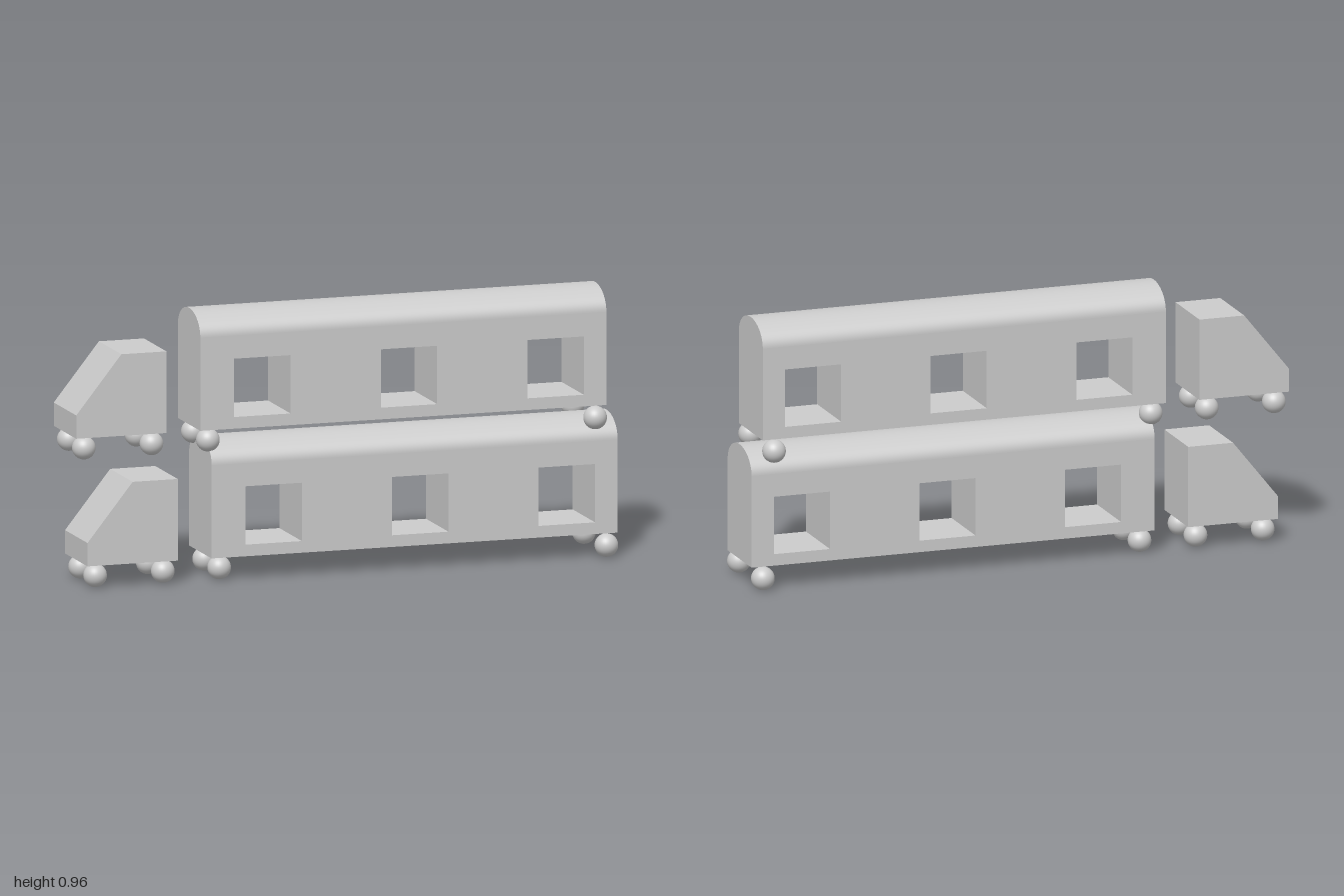
import * as THREE from 'three';
import { toCreasedNormals } from 'three/addons/utils/BufferGeometryUtils.js';

const UNIT = 1 / 24; // the trucks are laid out on a grid of this size
const WIDTH = 6;

const material = new THREE.MeshStandardMaterial({ color: 0xcccccc });

function mesh(name, geometry) {
  const m = new THREE.Mesh(geometry, material);
  m.name = name;
  return m;
}

function polygon(points) {
  return new THREE.Shape(points.map(([x, y]) => new THREE.Vector2(x, y)));
}

// Extrudes a side profile across the width, centred on z = 0
function acrossWidth(shape) {
  return new THREE.ExtrudeGeometry(shape, { depth: WIDTH, bevelEnabled: false })
    .translate(0, 0, -WIDTH / 2);
}

function createCab() {
  return mesh('cab', acrossWidth(polygon([[-23, 2], [-15, 2], [-15, 9], [-19, 9], [-23, 4]])));
}

function createTrailer() {
  const trailer = new THREE.Group();
  trailer.name = 'trailer';

  // Body with three square windows cut right through
  const side = polygon([[-12, 2], [24, 2], [24, 10], [-12, 10]]);
  for (const x of [-9, 4, 17]) {
    side.holes.push(polygon([[x, 3], [x, 8], [x + 5, 8], [x + 5, 3]]));
  }
  trailer.add(mesh('trailerBody', acrossWidth(side)));

  // Rounded roof: half an ellipse swept along the trailer
  const arch = new THREE.Shape();
  arch.absellipse(0, 0, WIDTH / 2, 2, 0, Math.PI, false);
  const roof = new THREE.ExtrudeGeometry(arch, { depth: 36, bevelEnabled: false, curveSegments: 32 });
  roof.rotateY(Math.PI / 2).translate(-12, 10, 0);
  trailer.add(mesh('trailerRoof', toCreasedNormals(roof, Math.PI / 5)));
  return trailer;
}

function createTruck(name) {
  const truck = new THREE.Group();
  truck.name = name;
  truck.add(createCab(), createTrailer());

  // Ball wheels in pairs; the rear pair stands wider
  const ball = new THREE.SphereGeometry(1, 32, 20);
  for (const [axle, x, z] of [['cabFront', -22, 2], ['cabRear', -16, 2], ['trailerFront', -11, 2], ['trailerRear', 23, 3]]) {
    for (const s of [1, -1]) {
      const wheel = mesh(axle + (s > 0 ? 'WheelNear' : 'WheelFar'), ball);
      wheel.position.set(x, 1, s * z);
      truck.add(wheel);
    }
  }
  return truck;
}

export function createModel() {
  const model = new THREE.Group();
  model.name = 'stackedTrucks';
  const lower = createTruck('lowerTruck');
  const upper = createTruck('upperTruck');
  upper.position.set(-1, 11, 0);
  model.add(lower, upper);
  model.scale.setScalar(UNIT);
  return model;
}
